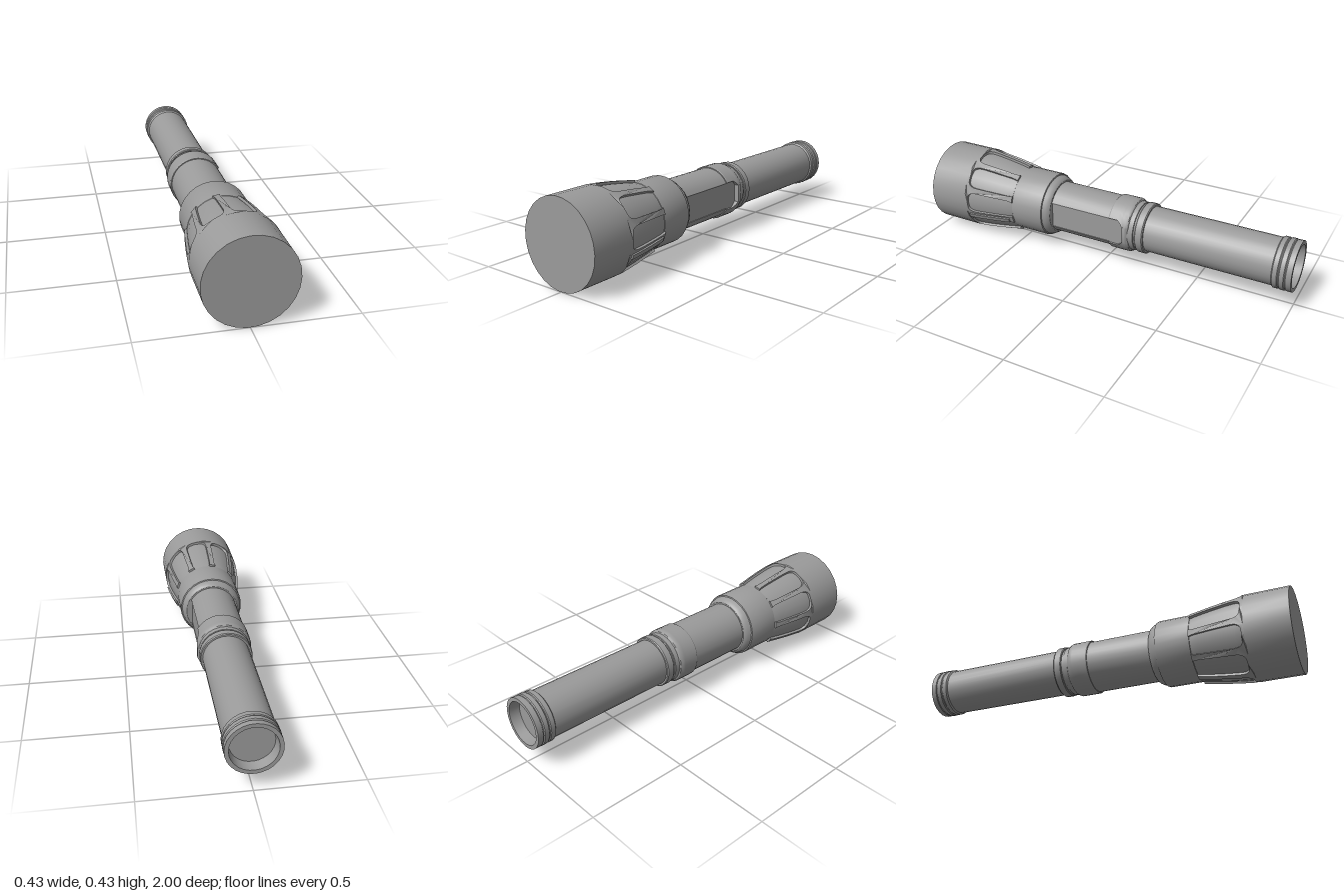
import * as THREE from 'three';
import { toCreasedNormals } from 'three/addons/utils/BufferGeometryUtils.js';

const material = new THREE.MeshStandardMaterial({ color: 0x9b9b9b });
const RIBS = 9;
const SIDES = RIBS * 3;
const AXIS_Y = 0.217;

function addMesh(group, name, geometry) {
  const mesh = new THREE.Mesh(toCreasedNormals(geometry, 0.5), material);
  mesh.name = name;
  group.add(mesh);
  return mesh;
}

// Turned part along z from [radius, z] pairs, listed from back to front
function turned(points) {
  const profile = points.map(([r, z]) => new THREE.Vector2(r, z));
  return new THREE.LatheGeometry(profile, SIDES).rotateX(Math.PI / 2).rotateZ(Math.PI / 2);
}

// Outer radius of the tapered part of the head
function headRadius(z) {
  const t = Math.max(0, (0.78 - z) / 0.27);
  return 0.216 - 0.035 * Math.pow(t, 1.4);
}

// Round body with a flat slot on +x, lofted through [z, radius, slotHalfHeight, slotX]
function slottedBody(sections) {
  const arc = 32, count = arc + 3;
  const positions = [], indices = [];
  for (const [z, r, h, slotX] of sections) {
    const a = Math.asin(h / r);
    for (let i = 0; i <= arc; i++) {
      const t = a + (i / arc) * (2 * Math.PI - 2 * a);
      positions.push(r * Math.cos(t), r * Math.sin(t), z);
    }
    positions.push(slotX, -h, z, slotX, h, z);
  }
  for (let s = 0; s < sections.length - 1; s++) {
    for (let i = 0; i < count; i++) {
      const j = (i + 1) % count;
      const a = s * count + i, b = s * count + j;
      indices.push(a, b, b + count, a, b + count, a + count);
    }
  }
  const geometry = new THREE.BufferGeometry();
  geometry.setAttribute('position', new THREE.Float32BufferAttribute(positions, 3));
  geometry.setIndex(indices);
  return geometry;
}

// Rib between two head recesses: a flared strip (angle, z) wrapped round the taper
function headRib(half) {
  const depth = 0.014, reach = Math.PI / RIBS;
  const right = [[half + 0.03, 0.505], [half + 0.008, 0.52], [half, 0.54], [half, 0.59], [half, 0.64], [half, 0.68]]
    .map(([u, z]) => new THREE.Vector2(u, z));
  const corner = new THREE.QuadraticBezierCurve(
    new THREE.Vector2(half, 0.715), new THREE.Vector2(half, 0.767), new THREE.Vector2(0.24, 0.767));
  right.push(...corner.getPoints(6), new THREE.Vector2(reach, 0.768));
  const front = [];
  for (let i = 0; i <= 3; i++) front.push(new THREE.Vector2(reach * (1 - i / 1.5), 0.78));
  const left = right.map((p) => new THREE.Vector2(-p.x, p.y)).reverse();
  const geometry = new THREE.ExtrudeGeometry(new THREE.Shape([...right, ...front, ...left]),
    { depth, bevelEnabled: false });
  const p = geometry.attributes.position;
  for (let i = 0; i < p.count; i++) {
    const angle = p.getX(i), z = p.getY(i);
    const r = headRadius(z) - depth + p.getZ(i);
    p.setXYZ(i, r * Math.cos(angle), r * Math.sin(angle), z);
  }
  return geometry;
}

export function createModel() {
  const model = new THREE.Group();
  model.name = 'flashlight';
  const light = new THREE.Group();
  light.name = 'flashlightBody';
  light.position.y = AXIS_Y;
  model.add(light);

  // Tail cap with a hollow end, grip tube and the rings in front of it
  addMesh(light, 'tailTube', turned([
    [0, -0.95], [0.1, -0.95], [0.108, -1], [0.127, -1], [0.127, -0.973], [0.123, -0.97],
    [0.123, -0.967], [0.128, -0.963], [0.128, -0.942], [0.123, -0.938], [0.123, -0.934],
    [0.127, -0.93], [0.127, -0.908], [0.119, -0.902], [0.119, -0.243], [0.128, -0.243],
    [0.132, -0.238], [0.132, -0.204], [0.128, -0.2], [0.123, -0.2], [0.123, -0.19],
    [0.128, -0.188], [0.13, -0.165], [0.13, -0.14],
  ]));

  // Middle body and collar, sharing the slot on the left side
  const slotX = 0.11;
  addMesh(light, 'middleBody', slottedBody([
    [-0.165, 0.128, 0.045, 0.12], [-0.16, 0.136, 0.045, 0.128], [-0.15, 0.141, 0.045, 0.134],
    [-0.133, 0.141, 0.045, 0.134], [-0.13, 0.141, 0.045, slotX], [-0.118, 0.141, 0.06, slotX],
    [-0.1, 0.141, 0.072, slotX], [-0.055, 0.141, 0.072, slotX], [-0.05, 0.138, 0.072, slotX],
    [-0.05, 0.133, 0.068, slotX], [0.3, 0.133, 0.068, slotX],
  ]));

  // Neck ring behind the head
  addMesh(light, 'neckRing', turned([
    [0.1, 0.288], [0.141, 0.288], [0.147, 0.292], [0.157, 0.308], [0.162, 0.326], [0.168, 0.328],
    [0.17, 0.333], [0.17, 0.505], [0.165, 0.51],
  ]));

  // Recessed floor of the head taper
  const floor = [[0.12, 0.506]];
  for (let i = 0; i <= 6; i++) {
    const z = 0.506 + (0.274 * i) / 6;
    floor.push([headRadius(z) - 0.012, z]);
  }
  addMesh(light, 'headCore', turned(floor));

  // Front barrel with its flat lens
  addMesh(light, 'headBarrel', turned([[0.216, 0.78], [0.216, 1], [0, 1]]));

  // Ribs separating the recesses; the last one, which carries the strip, is wider
  for (let i = 0; i < RIBS; i++) {
    const rib = addMesh(light, 'headRib', headRib(i === RIBS - 1 ? 0.1 : 0.072));
    rib.rotation.z = ((i + 0.5) * 2 * Math.PI) / RIBS;
  }

  // Thin raised strip along the wide rib
  const strip = new THREE.BoxGeometry(0.012, 0.024, 0.24, 1, 1, 6).translate(0, 0, 0.645);
  const p = strip.attributes.position;
  for (let i = 0; i < p.count; i++) p.setX(i, p.getX(i) + headRadius(p.getZ(i)));
  addMesh(light, 'raisedStrip', strip).rotation.z = -Math.PI / RIBS - 0.02;

  return model;
}
